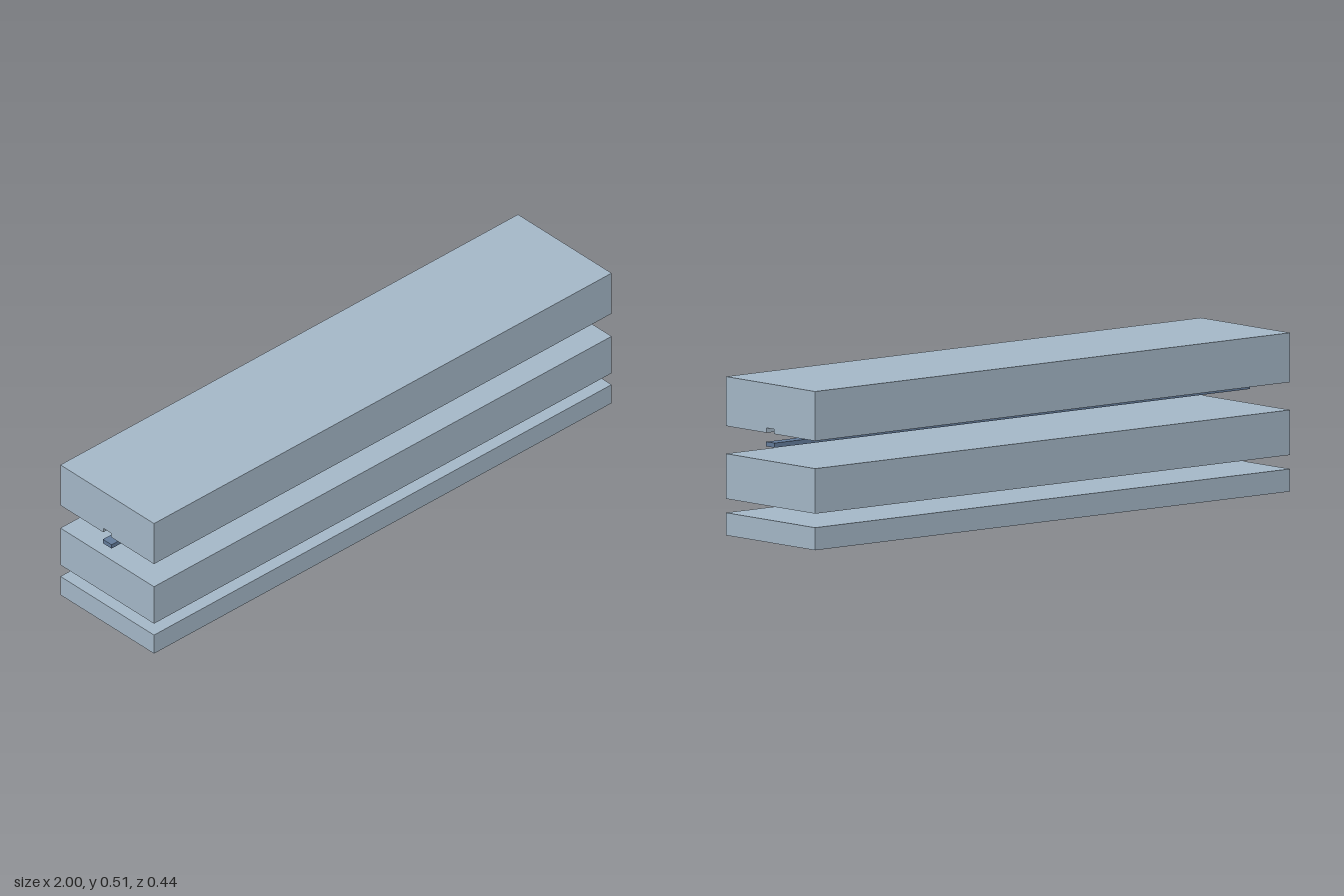
import * as THREE from 'three';

export function createModel() {
  const group = new THREE.Group();
  const slabMaterial = new THREE.MeshStandardMaterial({ color: 0xa5b8c8 });
  slabMaterial.name = 'paleBlueGrey';
  const stripMaterial = new THREE.MeshStandardMaterial({ color: 0x647c9b });
  stripMaterial.name = 'darkBlueGrey';

  const length = 2, halfDepth = 0.219;

  // Full-length box given by its height range and z range
  function bar(name, y0, y1, z0, z1, material) {
    const mesh = new THREE.Mesh(new THREE.BoxGeometry(length, y1 - y0, z1 - z0), material);
    mesh.position.set(0, (y0 + y1) / 2, (z0 + z1) / 2);
    mesh.name = name;
    group.add(mesh);
  }

  // Plain lower slabs
  bar('bottomSlab', 0, 0.073, -halfDepth, halfDepth, slabMaterial);
  bar('middleSlab', 0.118, 0.2635, -halfDepth, halfDepth, slabMaterial);

  // Thin strip with a narrow edge along each side
  bar('stripCore', 0.309, 0.324, -0.018, 0.018, stripMaterial);
  bar('stripFrontEdge', 0.309, 0.324, 0.018, 0.0205, stripMaterial);
  bar('stripBackEdge', 0.309, 0.324, -0.0205, -0.018, stripMaterial);

  // Top slab with a groove along its underside
  const y0 = 0.353, y1 = 0.5125, grooveTop = 0.3685, g = 0.018;
  const profile = new THREE.Shape([
    [-halfDepth, y0], [-g, y0], [-g, grooveTop], [g, grooveTop],
    [g, y0], [halfDepth, y0], [halfDepth, y1], [-halfDepth, y1],
  ].map(([z, y]) => new THREE.Vector2(z, y)));
  const geometry = new THREE.ExtrudeGeometry(profile, { depth: length, bevelEnabled: false });
  geometry.translate(0, 0, -length / 2).rotateY(Math.PI / 2);
  const topSlab = new THREE.Mesh(geometry, slabMaterial);
  topSlab.name = 'topSlab';
  group.add(topSlab);

  return group;
}
